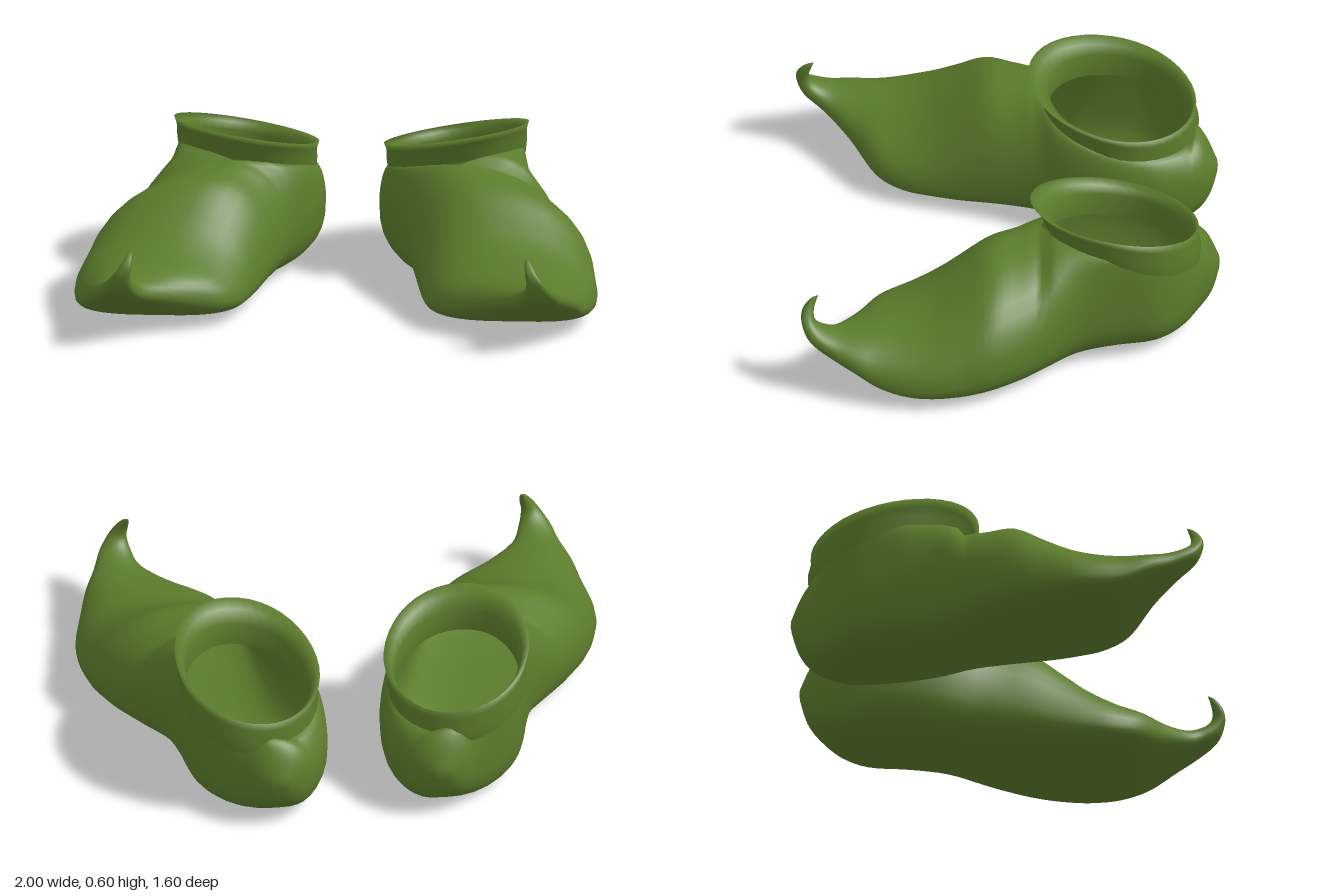
import * as THREE from 'three';
import { mergeVertices } from 'three/addons/utils/BufferGeometryUtils.js';

const { smoothstep, lerp } = THREE.MathUtils;

// Stations from curled tip to heel:
// bottom z, bottom y, top z, top y, inner x, outer x, ridge x
const STATIONS = [
  [0.735, 0.38, 0.735, 0.38, 0.755, 0.76, 0.757],
  [0.765, 0.365, 0.745, 0.35, 0.75, 0.775, 0.76],
  [0.795, 0.325, 0.752, 0.318, 0.752, 0.8, 0.775],
  [0.798, 0.28, 0.745, 0.285, 0.757, 0.83, 0.79],
  [0.77, 0.22, 0.71, 0.258, 0.745, 0.865, 0.8],
  [0.7, 0.165, 0.65, 0.24, 0.71, 0.893, 0.8],
  [0.6, 0.11, 0.58, 0.236, 0.59, 0.935, 0.79],
  [0.5, 0.05, 0.5, 0.245, 0.43, 0.965, 0.74],
  [0.4, 0.02, 0.4, 0.265, 0.36, 0.99, 0.68],
  [0.3, 0.008, 0.3, 0.305, 0.33, 1, 0.62],
  [0.2, 0, 0.2, 0.37, 0.31, 0.99, 0.58],
  [0.08, 0, 0.08, 0.45, 0.285, 0.965, 0.55],
  [-0.03, 0, -0.03, 0.465, 0.26, 0.91, 0.5],
  [-0.12, 0, -0.12, 0.478, 0.23, 0.845, 0.45],
  [-0.25, 0, -0.25, 0.47, 0.165, 0.745, 0.42],
  [-0.4, 0, -0.4, 0.45, 0.125, 0.695, 0.42],
  [-0.55, 0, -0.55, 0.42, 0.125, 0.655, 0.41],
  [-0.65, 0.015, -0.64, 0.4, 0.155, 0.575, 0.4],
  [-0.73, 0.06, -0.715, 0.38, 0.2, 0.47, 0.37],
  [-0.775, 0.12, -0.76, 0.33, 0.245, 0.42, 0.34],
  [-0.8, 0.2, -0.8, 0.24, 0.3, 0.36, 0.33],
];

// Tilted plane in which the cuff rim lies
const rimHeight = (x, z) => 0.52 + 0.17 * (x - 0.42) + 0.2 * (z + 0.4);

// Smooth interpolation of all station columns
function stationAt(t) {
  const last = STATIONS.length - 1;
  const i = Math.min(Math.floor(t), last - 1), f = t - i;
  const row = (k) => STATIONS[Math.max(0, Math.min(last, k))];
  return STATIONS[0].map((_, c) => {
    const [a, b, d, e] = [row(i - 1)[c], row(i)[c], row(i + 1)[c], row(i + 2)[c]];
    return b + 0.5 * f * (d - a + f * (2 * a - 5 * b + 4 * d - e + f * (3 * (b - d) + e - a)));
  });
}

// One cross-section, running from the top edge over the outer side,
// under the sole and up the inner side; it is open at the ankle
function bodySection([zb, yb, zt, yt, xi, xo, xt], quarter = 8) {
  const k = (zt + 0.42) / 0.29;
  const open = Math.abs(k) < 1;
  const hw = open ? 0.25 * Math.sqrt(1 - k * k) : 0;
  const mid = (xi + xo) / 2;
  const wide = lerp(lerp(0.5, 0.28, smoothstep(zt, -0.4, 0.2)), 0.5, smoothstep(zt, 0.5, 0.72));
  const half = (edge, centre) => {
    const ex = centre, ey = open ? rimHeight(ex, zt) - 0.09 : yt;
    const pts = [];
    for (let j = 0; j <= 2 * quarter; j++) {
      const a = (1 - j / quarter) * Math.PI / 2;
      const c = Math.max(0, Math.cos(a)), s = Math.sin(a);
      let x, v, h;
      if (s >= 0) {
        x = ex + (edge - ex) * c;
        v = wide + (1 - wide) * s;
        h = lerp(yb, yt, wide) + (ey - lerp(yb, yt, wide)) * s;
      } else {
        x = mid + (edge - mid) * Math.pow(c, 0.62);
        v = wide * (1 - Math.pow(-s, 0.75));
        h = lerp(yb, yt, v);
      }
      pts.push([x, h, lerp(zb, zt, v)]);
    }
    return pts;
  };
  const outer = half(xo, xt + hw), inner = half(xi, xt - hw);
  return outer.concat(inner.reverse().slice(1));
}

// Skin between equal-length rows of points
function loft(rows, flip) {
  const n = rows[0].length, index = [];
  for (let i = 0; i < rows.length - 1; i++) {
    for (let j = 0; j < n - 1; j++) {
      const a = i * n + j, b = a + n, c = a + 1, d = b + 1;
      index.push(...(flip ? [a, b, c, c, b, d] : [a, c, b, c, d, b]));
    }
  }
  let g = new THREE.BufferGeometry();
  g.setAttribute('position', new THREE.Float32BufferAttribute(rows.flat(2), 3));
  g.setIndex(index);
  g = mergeVertices(g, 1e-4);
  g.computeVertexNormals();
  return g;
}

// Shoe body: all sections, with both ends closed to a point
function bodyRows() {
  const rows = [], steps = (STATIONS.length - 1) * 4;
  for (let i = 0; i <= steps; i++) rows.push(bodySection(stationAt(i / 4)));
  const collapse = (row, z) => row.map(() => {
    const m = [0, 1, 2].map((c) => row.reduce((s, p) => s + p[c], 0) / row.length);
    return [m[0], m[1], z ?? m[2]];
  });
  rows.unshift(collapse(rows[0]));
  rows.push(collapse(rows[rows.length - 1], -0.803));
  return rows;
}

// Turned-down cuff: hanging skirt, flared rim, then the inner lining
function cuffRows() {
  // centre z, x radius, z radius, drop below rim, extra drop at the back
  const rings = [
    [-0.43, 0.262, 0.296, 0.095, 0.05],
    [-0.425, 0.268, 0.308, 0.055, 0.03],
    [-0.41, 0.268, 0.31, 0.025, 0.01],
    [-0.4, 0.277, 0.322, 0, 0],
    [-0.41, 0.25, 0.295, 0.02, 0],
    [-0.425, 0.235, 0.268, 0.05, 0],
    [-0.425, 0.24, 0.272, 0.15, 0],
  ];
  return rings.map(([cz, rx, rz, drop, back]) => {
    const row = [];
    for (let j = 0; j <= 40; j++) {
      const a = (j % 40) / 40 * Math.PI * 2;
      const ripple = 1 + 0.012 * Math.sin(3 * a + 1);
      const x = 0.42 + rx * ripple * Math.sin(a), z = cz + rz * Math.cos(a);
      const sag = back * smoothstep(-Math.cos(a), -0.5, 0.6);
      row.push([x, rimHeight(x, z) - drop - sag, z]);
    }
    return row;
  });
}

export function createModel() {
  const felt = new THREE.MeshStandardMaterial({ color: 0x5c7c2c, side: THREE.DoubleSide });
  felt.name = 'green felt';

  const model = new THREE.Group();
  model.name = 'pair of curled shoes';

  for (const side of [1, -1]) {
    // the right shoe's heel sits slightly closer to the middle
    const place = ([x, y, z]) =>
      side > 0 ? [x, y, z] : [-(x - 0.035 * smoothstep(-z, -0.4, 0.1)), y, z];
    const shoe = new THREE.Group();
    shoe.name = side > 0 ? 'leftShoe' : 'rightShoe';
    const add = (name, rows, flip) => {
      const mesh = new THREE.Mesh(loft(rows.map((r) => r.map(place)), flip), felt);
      mesh.name = name;
      shoe.add(mesh);
    };
    add('shoeBody', bodyRows(), side < 0);
    add('cuff', cuffRows(), side < 0);
    model.add(shoe);
  }
  return model;
}
